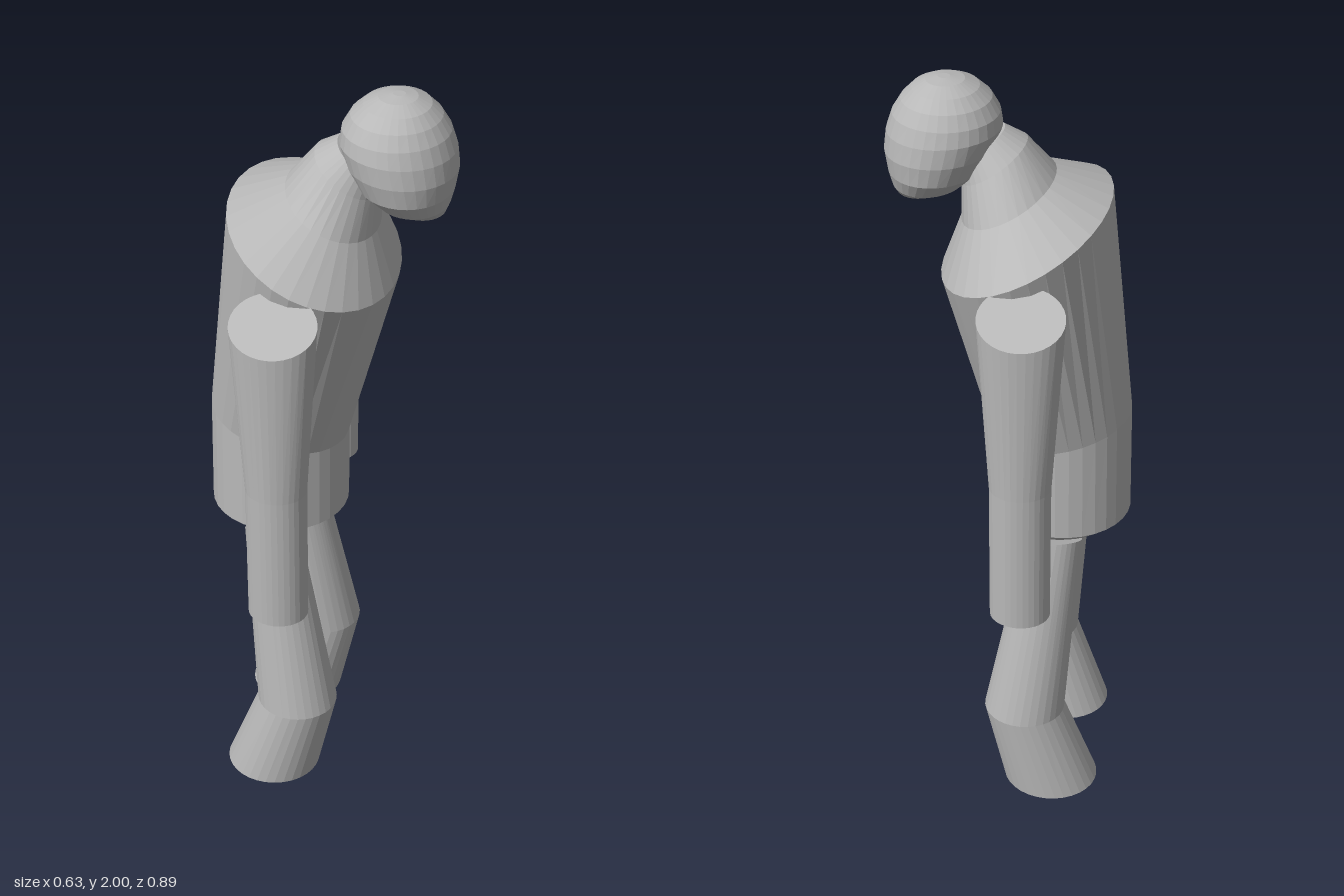
import * as THREE from 'three';

const SEG = 32;

// Closed loft through elliptical rings: [x back, y back, x front, y front, z centre, z radius, y tilt toward +z]
function loft(rings, material, name) {
  const pos = [], idx = [];
  for (const [x0, y0, x1, y1, zc, rz, tilt = 0] of rings) {
    for (let i = 0; i < SEG; i++) {
      const a = (i / SEG) * Math.PI * 2, c = Math.cos(a), s = Math.sin(a);
      pos.push((x0 + x1) / 2 + c * (x1 - x0) / 2, (y0 + y1) / 2 + c * (y1 - y0) / 2 + s * tilt, zc + s * rz);
    }
  }
  for (let r = 0; r < rings.length - 1; r++) {
    for (let i = 0; i < SEG; i++) {
      const j = (i + 1) % SEG, a = r * SEG + i, b = r * SEG + j;
      idx.push(a, a + SEG, b, b, a + SEG, b + SEG);
    }
  }
  // End caps
  const top = (rings.length - 1) * SEG;
  for (let i = 1; i < SEG - 1; i++) {
    idx.push(0, i, i + 1);
    idx.push(top, top + i + 1, top + i);
  }
  const indexed = new THREE.BufferGeometry();
  indexed.setAttribute('position', new THREE.Float32BufferAttribute(pos, 3));
  indexed.setIndex(idx);
  // Faceted normals
  const geometry = indexed.toNonIndexed();
  geometry.computeVertexNormals();
  const mesh = new THREE.Mesh(geometry, material);
  mesh.name = name;
  return mesh;
}

export function createModel() {
  const group = new THREE.Group();
  group.name = 'stoopedFigure';
  const grey = new THREE.MeshStandardMaterial({ color: 0xb8b8b8 });
  grey.name = 'plain grey';

  // Pelvis, chest, sloping shoulders and forward-leaning neck
  group.add(loft([
    [-0.22, 0.74, -0.045, 0.74, 0, 0.10],
    [-0.315, 0.81, 0.05, 0.81, 0, 0.18],
    [-0.31, 1.11, 0.05, 1.03, 0, 0.18],
    [-0.245, 1.71, 0.175, 1.515, 0, 0.332],
    [-0.105, 1.76, 0.125, 1.65, 0, 0.183],
    [-0.035, 1.845, 0.125, 1.74, 0, 0.115],
    [0.02, 1.875, 0.13, 1.80, 0, 0.08],
  ], grey, 'torsoAndNeck'));

  // Head, jutting forward with a narrow chin
  group.add(loft([
    [0.20, 1.697, 0.26, 1.693, 0, 0.02],
    [0.165, 1.71, 0.285, 1.705, 0, 0.07],
    [0.115, 1.735, 0.295, 1.73, 0, 0.115],
    [0.07, 1.775, 0.305, 1.77, 0, 0.145],
    [0.04, 1.83, 0.313, 1.82, 0, 0.155],
    [0.025, 1.88, 0.307, 1.87, 0, 0.153],
    [0.03, 1.915, 0.292, 1.915, 0, 0.142],
    [0.05, 1.95, 0.27, 1.95, 0, 0.122],
    [0.08, 1.977, 0.243, 1.977, 0, 0.092],
    [0.115, 1.994, 0.21, 1.994, 0, 0.052],
    [0.15, 2.0, 0.18, 2.0, 0, 0.015],
  ], grey, 'head'));

  for (const s of [1, -1]) {
    const side = s > 0 ? 'right' : 'left';
    // Hanging arm with a slanted shoulder cut
    group.add(loft([
      [-0.142, 0.705, 0.012, 0.705, s * 0.368, 0.068],
      [-0.142, 1.09, 0.012, 1.09, s * 0.368, 0.068],
      [-0.172, 1.56, 0.04, 1.56, s * 0.37, 0.075, -s * 0.048],
    ], grey, side + 'Arm'));
    // Bent leg
    group.add(loft([
      [-0.258, 0, 0, 0, s * 0.17, 0.12],
      [-0.165, 0.25, 0.053, 0.25, s * 0.185, 0.103],
      [-0.20, 0.785, -0.05, 0.765, s * 0.142, 0.062, s * 0.027],
    ], grey, side + 'Leg'));
  }
  return group;
}
